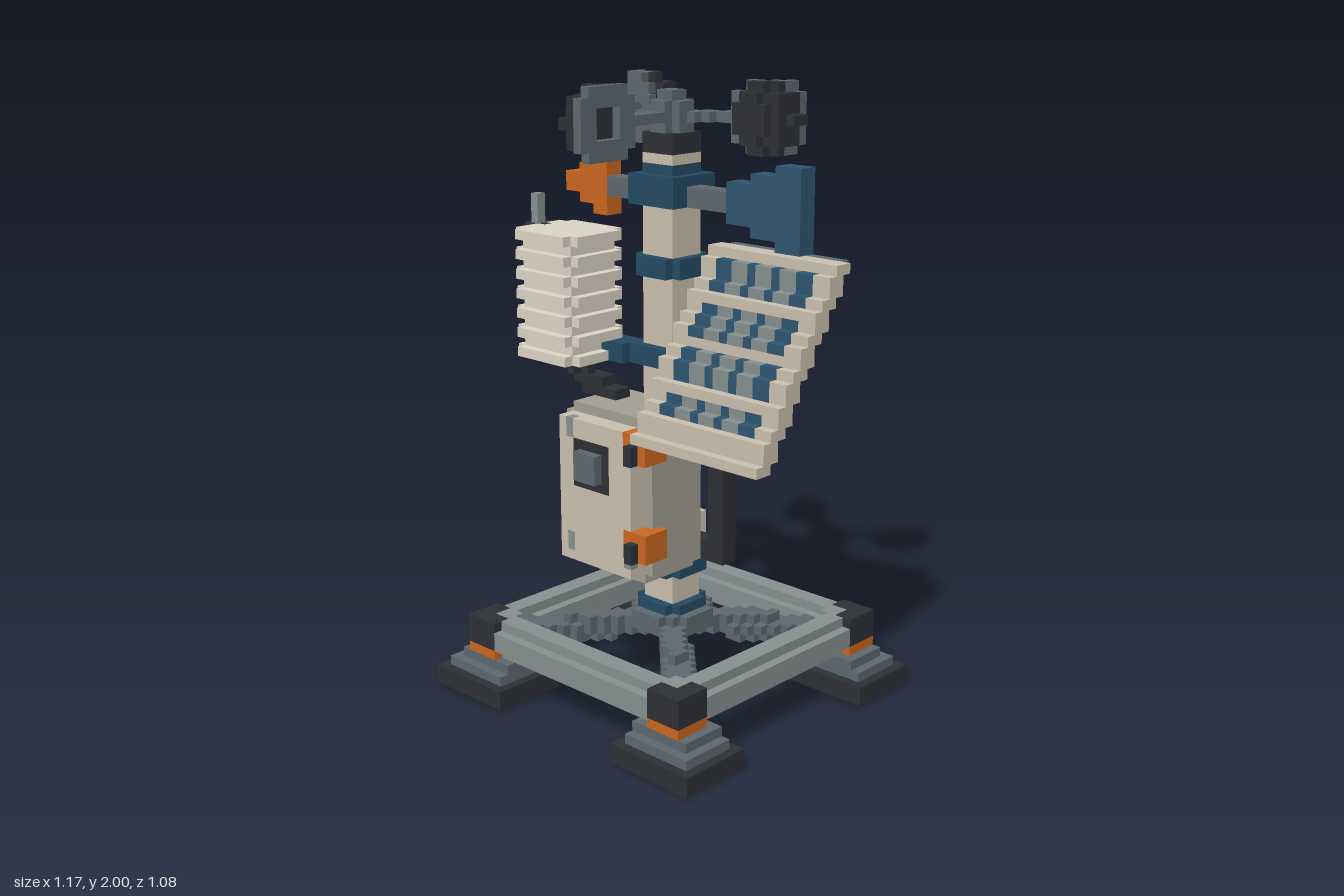
import * as THREE from 'three';

const V = 2 / 63;                 // edge of one cube
const OFFSET = [18.5, 0, 17];     // grid centre in cubes
const C = {
  dark: 0x2d3034, slate: 0x5c686f, grey: 0x878f8f, cream: 0xcbc0ae, light: 0xdcd5c6,
  tan: 0xa29e92, navy: 0x2d5570, deep: 0x234a63, orange: 0xcb6720,
};

export function createModel() {
  const cells = new Map();
  const key = (x, y, z) => (x * 100 + y) * 100 + z;

  // Later parts replace earlier ones where they share a cube
  const put = (name, color, x, y, z) => cells.set(key(x, y, z), { name, color, p: [x, y, z] });
  // Box from a to b (b exclusive), with an optional test on cube centres
  function box(name, color, [x0, x1], [y0, y1], [z0, z1], test) {
    for (let x = x0; x < x1; x++)
      for (let y = y0; y < y1; y++)
        for (let z = z0; z < z1; z++)
          if (!test || test(x + 0.5, y + 0.5, z + 0.5)) put(name, color, x, y, z);
  }
  // Stepped rod between two points
  function rod(name, color, a, b, r) {
    const line = new THREE.Line3(new THREE.Vector3(...a), new THREE.Vector3(...b));
    const p = new THREE.Vector3(), q = new THREE.Vector3();
    const range = i => [Math.floor(Math.min(a[i], b[i]) - r), Math.ceil(Math.max(a[i], b[i]) + r)];
    box(name, color, range(0), range(1), range(2), (x, y, z) =>
      line.closestPointToPoint(p.set(x, y, z), true, q).distanceTo(p) <= r);
  }
  const flipX = ([a, b], m) => (m ? [36 - b, 36 - a] : [a, b]);
  const flipZ = ([a, b], m) => (m ? [34 - b, 34 - a] : [a, b]);

  // Square base frame of rounded rails
  const notCorner = (u, v) => !(Math.abs(u) > 1 && Math.abs(v) > 1);
  for (const m of [0, 1]) {
    const zr = flipZ([2, 6], m), xr = flipX([3, 7], m);
    box('baseRail', C.grey, [5, 31], [4, 8], zr, (x, y, z) => notCorner(y - 6, z - zr[0] - 2));
    box('baseRail', C.grey, xr, [4, 8], [4, 30], (x, y, z) => notCorner(y - 6, x - xr[0] - 2));
  }

  // Feet, corner caps and diagonal braces
  for (const mx of [0, 1]) for (const mz of [0, 1]) {
    const b = (name, color, x, y, z) => box(name, color, flipX(x, mx), y, flipZ(z, mz));
    b('footPad', C.dark, [0, 10], [0, 2], [0, 8]);
    b('footPlate', C.slate, [1, 9], [2, 3], [1, 7]);
    b('footPlate', C.slate, [2, 9], [3, 4], [2, 7]);
    b('footBand', C.orange, [3, 7], [4, 5], [2, 6]);
    b('cornerCap', C.dark, [3, 7], [5, 8], [2, 6]);
    b('baseRail', C.grey, [5, 7], [5, 8], [4, 6]);
    rod('brace', C.slate, [mx ? 28.5 : 7.5, 5.8, mz ? 27 : 7], [18, 7.6, 17], 1.35);
  }

  // Mast with hub and clamps
  box('mastHub', C.slate, [14, 22], [7, 9], [13, 21], (x, y, z) => Math.abs(x - 18) + Math.abs(z - 17) < 6);
  box('mast', C.cream, [16, 20], [6, 56], [15, 19]);
  for (const [y0, y1] of [[8, 10], [13, 15], [35, 37], [44, 46], [51, 54]])
    box('mastClamp', C.deep, [15, 21], [y0, y1], [14, 20], (x, y, z) => y0 > 50 || notCorner((x - 18) / 2, (z - 17) / 2));
  box('mastClamp', C.deep, [16, 20], [54, 55], [15, 19]);
  box('backClamp', C.deep, [16, 20], [27, 30], [14, 17]);
  box('backBox', C.cream, [16, 20], [15, 19], [14, 16]);

  // Cabinet with door, window, latches and side handle
  box('cabinet', C.tan, [10, 22], [15, 30], [17, 24]);
  box('cabinet', C.tan, [11, 21], [14, 31], [17, 24]);
  box('cabinetDoor', C.cream, [11, 21], [15, 30], [24, 26]);
  for (const x of [12, 20]) for (const y of [16, 28])
    box('doorBolt', C.grey, [x, x + 1], [y, y + 2], [25, 26]);
  box('windowFrame', C.dark, [13, 18], [23, 28], [25, 26]);
  box('window', C.slate, [14, 17], [24, 27], [25, 27]);
  for (const y of [17, 27]) {
    box('latch', C.orange, [20, 23], [y, y + 3], [23, 26]);
    box('latchCatch', C.dark, [21, 22], [y, y + 2], [25, 27]);
  }
  box('sideHandle', C.dark, [23, 25], [15, 29], [15, 17]);
  for (const y of [15, 27]) box('sideHandle', C.dark, [20, 23], [y, y + 2], [15, 17]);

  // Louvred shield on its arm
  box('shieldArm', C.deep, [12, 17], [35, 37], [18, 21], (x, y, z) => x + z < 36);
  for (let y = 35; y < 48; y++) {
    const r = y % 2 ? 0 : 1;
    box('louvre', C.light, [4 + r, 13 - r], [y, y + 1], [18 + r, 26 - r],
      (x, _, z) => Math.abs(x - 8.5) + Math.abs(z - 22) < 7 - r);
  }

  // Sensor post with antenna, and cable into the cabinet
  box('sensorPost', C.dark, [2, 5], [34, 48], [20, 23], (x, y, z) => x === 3.5 || z === 21.5);
  box('antenna', C.grey, [3, 4], [48, 51], [21, 22]);
  const cable = [[8.5, 35, 20.5], [8.5, 33.2, 20.5], [10.5, 31.8, 20], [13, 31.2, 20], [13, 30.5, 20]];
  for (let i = 1; i < cable.length; i++) rod('cable', C.dark, cable[i - 1], cable[i], 1.1);

  // Tilted solar panel, one row per step
  const cellRow = y => y >= 32 && y < 46 && (y - 32) % 4 !== 2;
  const cellColumn = x => [23, 24, 27, 30, 33, 34].includes(x);
  for (let y = 29; y < 47; y++) {
    const z = Math.round(26 - (y - 29) * 0.64);
    box('panelBack', C.slate, [22, 36], [y, y + 1], [z - 3, z - 2]);
    box('panelFrame', C.cream, [21, 37], [y, y + 1], [z - 2, z]);
    if (cellRow(y)) for (let x = 23; x < 35; x++)
      put(cellColumn(x) ? 'solarCell' : 'cellGap', cellColumn(x) ? C.navy : C.grey, x, y, z - 1);
  }
  rod('panelStrut', C.slate, [20.5, 33.5, 15.5], [28, 36.5, 16], 1.5);
  box('panelMount', C.deep, [26, 30], [35, 38], [16, 18]);

  // Wind vane: boom, stepped fin and nose
  box('vaneBoom', C.slate, [10, 15], [51, 53], [16, 18]);
  box('vaneBoom', C.slate, [21, 26], [51, 53], [16, 18]);
  for (let i = 0; i < 3; i++) {
    box('vaneFin', C.navy, [26 + 3 * i, 29 + 3 * i], [50 - i, 54 + i], [16, 18]);
    box('vaneNose', C.orange, [4 + 2 * i, 6 + 2 * i], [51 - i, 53 + i], [16, 18]);
  }

  // Wind speed rotor: hub and three cups
  box('rotorBearing', C.dark, [16, 20], [56, 58], [15, 19]);
  box('rotorHub', C.slate, [16, 20], [58, 61], [15, 19], (x, y, z) => notCorner(x - 18, z - 17));
  box('rotorHub', C.slate, [17, 19], [61, 62], [16, 18]);
  for (let i = 0; i < 3; i++) {
    const a = i * Math.PI * 2 / 3, s = Math.sin(a), c = Math.cos(a);
    rod('rotorArm', C.slate, [18, 59.5, 17], [18 + 7 * s, 59.5, 17 + 7 * c], 0.95);
    const cx = 18 + 9.5 * s, cz = 17 + 9.5 * c;
    const shape = (lo, hi, hole) => (x, y, z) => {
      const depth = -(x - cx) * c + (z - cz) * s;         // towards the dome
      const side = Math.hypot((x - cx) * s + (z - cz) * c, y - 59.5);
      return depth >= lo && depth < hi && side >= hole && Math.hypot(side, depth + 0.5) <= 3.65;
    };
    const xr = [Math.floor(cx - 5), Math.ceil(cx + 5)], zr = [Math.floor(cz - 5), Math.ceil(cz + 5)];
    box('cupDome', C.dark, xr, [56, 63], zr, shape(0.2, 4, 0));
    box('cupRim', C.slate, xr, [56, 63], zr, shape(-0.9, 0.2, 1.6));
  }

  // Outer faces of the cubes, gathered by part
  const parts = new Map();
  for (const { name, color, p } of cells.values()) {
    if (!parts.has(name)) parts.set(name, { color, pos: [], nor: [] });
    const { pos, nor } = parts.get(name);
    for (let axis = 0; axis < 3; axis++) for (const sign of [-1, 1]) {
      const n = [0, 0, 0];
      n[axis] = sign;
      if (cells.has(key(p[0] + n[0], p[1] + n[1], p[2] + n[2]))) continue;
      const quad = [[0, 0], [1, 0], [1, 1], [0, 1]].map(([u, v]) => {
        const q = [...p];
        q[axis] += sign > 0 ? 1 : 0;
        q[(axis + 1) % 3] += u;
        q[(axis + 2) % 3] += v;
        return q.map((t, k) => (t - OFFSET[k]) * V);
      });
      for (const k of sign > 0 ? [0, 1, 2, 0, 2, 3] : [0, 2, 1, 0, 3, 2]) {
        pos.push(...quad[k]);
        nor.push(...n);
      }
    }
  }
  const group = new THREE.Group();
  group.name = 'weatherStation';
  for (const [name, { color, pos, nor }] of parts) {
    const geometry = new THREE.BufferGeometry();
    geometry.setAttribute('position', new THREE.Float32BufferAttribute(pos, 3));
    geometry.setAttribute('normal', new THREE.Float32BufferAttribute(nor, 3));
    const mesh = new THREE.Mesh(geometry, new THREE.MeshStandardMaterial({ color }));
    mesh.name = name;
    group.add(mesh);
  }
  return group;
}
